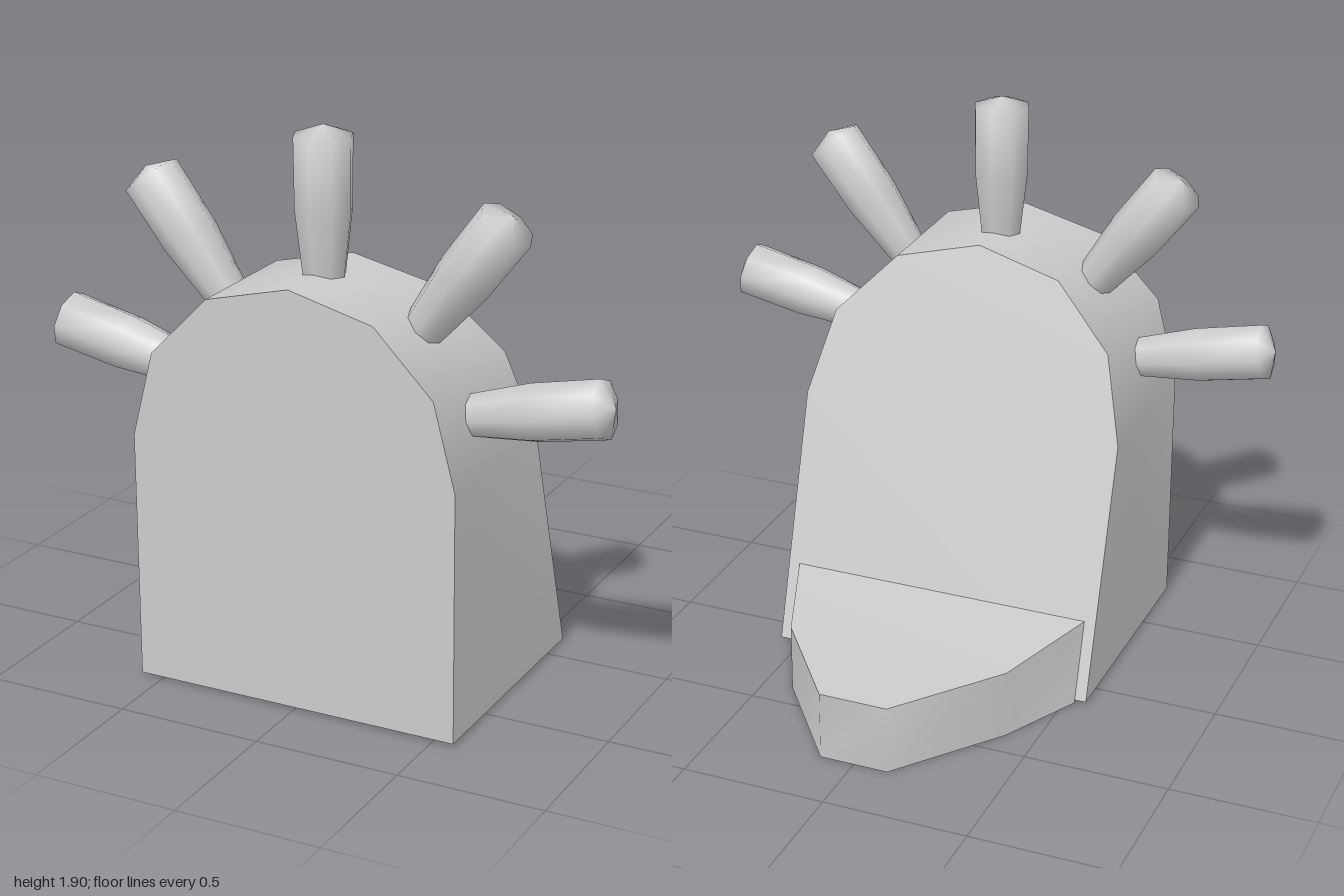
import * as THREE from 'three';

const material = new THREE.MeshStandardMaterial({ color: 0xcccccc, side: THREE.DoubleSide });

// Smooth ribbon of quads between two rows of points
function ribbon(name, a, b) {
  const index = [];
  const n = a.length;
  for (let i = 0; i < n - 1; i++) {
    index.push(i, n + i, i + 1, n + i, n + i + 1, i + 1);
  }
  const geometry = new THREE.BufferGeometry();
  geometry.setAttribute('position', new THREE.Float32BufferAttribute([...a, ...b].flat(), 3));
  geometry.setIndex(index);
  geometry.computeVertexNormals();
  const mesh = new THREE.Mesh(geometry, material);
  mesh.name = name;
  return mesh;
}

// Half outline mirrored to a full one; the middle point is kept once if it lies on x = 0
function mirrorRow(half) {
  const other = half.filter((p) => p[0] !== 0).map(([x, y, z]) => [-x, y, z]).reverse();
  return [...half, ...other];
}

// Open-bottomed arched body with a sloping back
function createBody() {
  const body = new THREE.Group();
  body.name = 'body';
  const half = [[0.575, 0.01], [0.575, 0.86], [0.5, 1.15], [0.295, 1.36], [0, 1.435]];
  const slopeZ = (y) => -0.115 + (y - 0.01) * 0.305;
  const front = mirrorRow(half.map(([x, y]) => [x, y, 0.755]));
  const back = front.map(([x, y]) => [x, y, slopeZ(y)]);
  const right = (row) => row.slice(0, 5);
  const left = (row) => row.slice(4).reverse();
  body.add(
    ribbon('archWall', front, back),
    ribbon('frontFace', left(front), right(front)),
    ribbon('slopingBack', right(back), left(back)),
  );
  return body;
}

// Low tapering step behind the body, open below
function createStep() {
  const step = new THREE.Group();
  step.name = 'backStep';
  const top = mirrorRow([[0.535, 0.275, -0.035], [0.395, 0.24, -0.4], [0.12, 0.24, -0.76]]);
  const bottom = mirrorRow([[0.535, 0, -0.118], [0.395, 0, -0.4], [0.12, 0, -0.76]]);
  step.add(
    ribbon('stepWall', top, bottom),
    ribbon('stepTop', top.slice(3).reverse(), top.slice(0, 3)),
  );
  return step;
}

// Eight-sided peg, narrow at the root, with a blunt tip
function createPegs() {
  const pegs = new THREE.Group();
  pegs.name = 'pegs';
  const profile = [[0.066, -0.025], [0.072, 0.01], [0.096, 0.22], [0.098, 0.455], [0, 0.49]]
    .map(([r, y]) => new THREE.Vector2(r, y));
  const geometry = new THREE.LatheGeometry(profile, 8);
  const addPeg = (x, y, degrees) => {
    const peg = new THREE.Mesh(geometry, material);
    peg.name = 'peg';
    peg.position.set(x, y, 0.515);
    peg.rotation.z = THREE.MathUtils.degToRad(degrees);
    pegs.add(peg);
  };
  addPeg(0, 1.415, 0);
  for (const side of [1, -1]) {
    addPeg(side * 0.355, 1.3, side * -37);
    addPeg(side * 0.52, 1.03, side * -78);
  }
  return pegs;
}

export function createModel() {
  const model = new THREE.Group();
  model.name = 'peggedArch';
  model.add(createBody(), createStep(), createPegs());
  return model;
}
